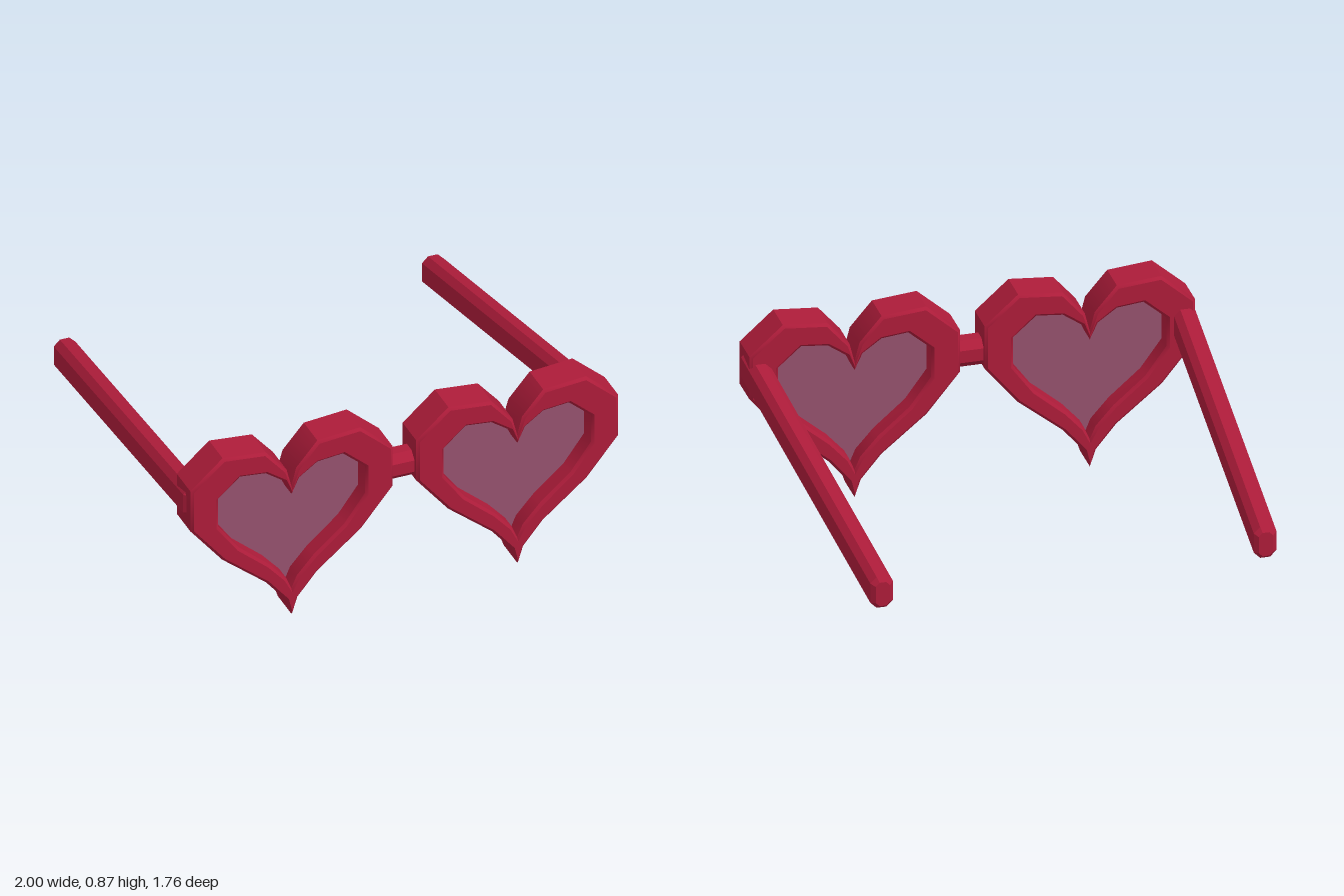
import * as THREE from 'three';
import { toCreasedNormals } from 'three/addons/utils/BufferGeometryUtils.js';

const CREASE = 0.75;
const HEART_X = 0.522;

// Right half of each heart, from notch to tip, measured from the heart's own axis
const OUTER = [[0, 0.65], [0.022, 0.738], [0.12, 0.852], [0.318, 0.87], [0.467, 0.738],
  [0.467, 0.535], [0.32, 0.355], [0.118, 0.19], [0.027, 0.08], [0, 0]];
const INNER = [[0, 0.61], [0.035, 0.685], [0.12, 0.745], [0.238, 0.757], [0.34, 0.668],
  [0.34, 0.53], [0.245, 0.4], [0.105, 0.28], [0.025, 0.19], [0, 0.13]];

// Full counter-clockwise outline from a half outline
function heartPoints(half) {
  const mirrored = half.slice(1, -1).reverse().map(([x, y]) => [-x, y]);
  return [...half, ...mirrored].reverse().map(([x, y]) => new THREE.Vector2(x, y));
}

// Rectangle with cut corners
function chamferedRect(w, h, c) {
  const x = w / 2, y = h / 2;
  return new THREE.Shape([[x - c, -y], [x, -y + c], [x, y - c], [x - c, y],
    [-x + c, y], [-x, y - c], [-x, -y + c], [-x + c, -y]].map(p => new THREE.Vector2(...p)));
}

// Extrusion with a small chamfer that stays inside the outline, from z0 to z1
function chamferExtrude(shape, z0, z1, b) {
  const geo = new THREE.ExtrudeGeometry(shape, {
    depth: z1 - z0 - 2 * b, steps: 1, bevelEnabled: true, bevelSegments: 1,
    bevelSize: b, bevelThickness: b, bevelOffset: -b,
  });
  return geo.translate(0, 0, z0 + b);
}

// Mirrored copy of a non-indexed geometry with its corner order restored
function mirrorX(geometry) {
  const copy = geometry.clone();
  for (const name of ['position', 'normal']) {
    const src = geometry.attributes[name], dst = copy.attributes[name];
    for (let i = 0; i < src.count; i++) {
      const j = i + 2 - 2 * (i % 3);
      dst.setXYZ(i, -src.getX(j), src.getY(j), src.getZ(j));
    }
  }
  return copy;
}

function addMesh(parent, name, geometry, material) {
  const mesh = new THREE.Mesh(geometry, material);
  mesh.name = name;
  parent.add(mesh);
  return mesh;
}

export function createModel() {
  const model = new THREE.Group();
  model.name = 'heartGlasses';
  const red = new THREE.MeshStandardMaterial({ color: 0xae1c3a });
  red.name = 'frameRed';
  const tint = new THREE.MeshStandardMaterial({ color: 0x96526e, side: THREE.DoubleSide });
  tint.name = 'lensMauve';

  // Heart rim with a heart-shaped opening
  const rimShape = new THREE.Shape(heartPoints(OUTER));
  rimShape.holes.push(new THREE.Path(heartPoints(INNER)));
  const rimGeo = toCreasedNormals(chamferExtrude(rimShape, 0.705, 0.88, 0.012), CREASE);

  // Flat lens halfway through the rim
  const lensGeo = new THREE.ShapeGeometry(new THREE.Shape(heartPoints(INNER)));
  lensGeo.translate(0, 0, 0.793);

  // Temple arm: a chamfered bar sheared down and inward towards the back
  const armGeo = chamferExtrude(chamferedRect(0.1, 0.148, 0.028), -0.88, 0.83, 0.018);
  const pos = armGeo.attributes.position;
  for (let i = 0; i < pos.count; i++) {
    const t = (pos.getZ(i) + 0.88) / 1.71;
    pos.setX(i, pos.getX(i) + THREE.MathUtils.lerp(0.85, 0.95, t));
    pos.setY(i, pos.getY(i) + THREE.MathUtils.lerp(0.37, 0.648, t));
  }
  const leftArmGeo = toCreasedNormals(armGeo, 0.5);
  const rightArmGeo = mirrorX(leftArmGeo);

  for (const [side, s] of [['left', 1], ['right', -1]]) {
    addMesh(model, side + 'Rim', rimGeo, red).position.x = s * HEART_X;
    addMesh(model, side + 'Lens', lensGeo, tint).position.x = s * HEART_X;
    addMesh(model, side + 'Arm', s > 0 ? leftArmGeo : rightArmGeo, red);
  }

  // Nose bridge: eight-sided bar between the rims
  const bridgeGeo = new THREE.ExtrudeGeometry(chamferedRect(0.12, 0.125, 0.034),
    { depth: 0.18, bevelEnabled: false });
  bridgeGeo.translate(0, 0, -0.09).rotateY(Math.PI / 2);
  addMesh(model, 'bridge', bridgeGeo, red).position.set(0, 0.597, 0.79);

  return model;
}
